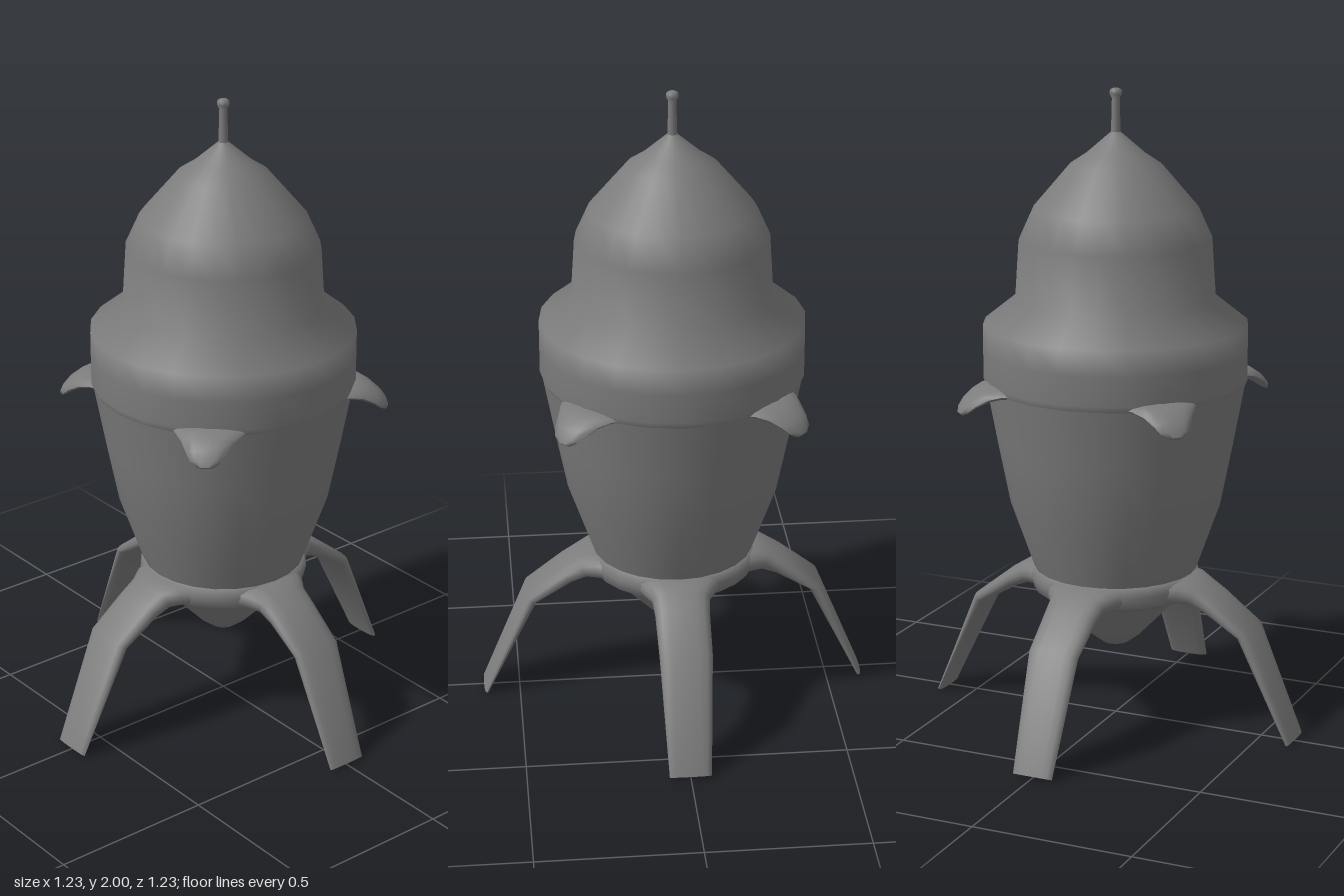
import * as THREE from 'three';
import { toCreasedNormals } from 'three/addons/utils/BufferGeometryUtils.js';

const material = new THREE.MeshStandardMaterial({ color: 0x7c7c7c, side: THREE.DoubleSide });

function turned(name, points, segments = 24) {
  const profile = points.map(([r, y]) => new THREE.Vector2(r, y));
  const mesh = new THREE.Mesh(new THREE.LatheGeometry(profile, segments), material);
  mesh.name = name;
  return mesh;
}

// Sweeps a rounded section along a path in the x-y plane.
// Each station is [x, y, half width, half thickness]; power < 1 squares the section off.
function loft(stations, sides, power) {
  const positions = [], index = [];
  const soft = (v) => Math.sign(v) * Math.pow(Math.abs(v), power);
  stations.forEach(([x, y, w, t], i) => {
    const p = stations[Math.max(i - 1, 0)], n = stations[Math.min(i + 1, stations.length - 1)];
    const dir = new THREE.Vector2(n[0] - p[0], n[1] - p[1]).normalize();
    for (let j = 0; j < sides; j++) {
      const a = (j / sides) * Math.PI * 2;
      const h = -t * soft(Math.sin(a));
      positions.push(x - dir.y * h, y + dir.x * h, w * soft(Math.cos(a)));
    }
  });
  const last = stations.length - 1;
  for (let i = 0; i < last; i++) {
    for (let j = 0; j < sides; j++) {
      const k = (j + 1) % sides;
      const a = i * sides + j, b = i * sides + k;
      index.push(a, b, b + sides, a, b + sides, a + sides);
    }
  }
  // End cap
  const center = positions.length / 3;
  positions.push(stations[last][0], stations[last][1], 0);
  for (let j = 0; j < sides; j++) index.push(center, last * sides + j, last * sides + (j + 1) % sides);
  const geometry = new THREE.BufferGeometry();
  geometry.setAttribute('position', new THREE.Float32BufferAttribute(positions, 3));
  geometry.setIndex(index);
  return toCreasedNormals(geometry, 1.1);
}

export function createModel() {
  const group = new THREE.Group();

  // Body, bottom to top
  group.add(
    turned('nozzle', [[0, 0.26], [0.018, 0.255], [0.025, 0.24], [0.042, 0.243], [0.08, 0.272], [0.15, 0.345], [0.225, 0.425]]),
    turned('baseRing', [[0.2, 0.425], [0.235, 0.415], [0.258, 0.43], [0.266, 0.465], [0.257, 0.497], [0.2, 0.5]]),
    turned('hull', [[0.255, 0.495], [0.33, 0.71], [0.367, 0.9], [0.402, 1.09]]),
    // The collar runs smoothly into the dome
    turned('collarAndDome', [
      [0.402, 1.09], [0.41, 1.11], [0.41, 1.2], [0.41, 1.28], [0.31, 1.36],
      [0.298, 1.54], [0.255, 1.635], [0.14, 1.77], [0.09, 1.803], [0.015, 1.868],
    ]),
    turned('antenna', [[0.015, 1.86], [0.012, 1.97], [0.019, 1.983], [0.018, 1.995], [0.01, 2], [0, 2]], 12)
  );

  // Legs on the axes, flared where they join the ring
  const legGeometry = loft([
    [0.2, 0.458, 0.14, 0.04],
    [0.255, 0.456, 0.115, 0.04],
    [0.29, 0.445, 0.09, 0.036],
    [0.34, 0.42, 0.085, 0.03],
    [0.455, 0.341, 0.082, 0.022],
    [0.608, 0.004, 0.065, 0.009],
  ], 16, 0.75);

  // Small drooping fins on the diagonals
  const finGeometry = loft([
    [0.36, 1.098, 0.125, 0.018],
    [0.405, 1.096, 0.1, 0.02],
    [0.44, 1.085, 0.078, 0.02],
    [0.475, 1.064, 0.059, 0.017],
    [0.495, 1.045, 0.045, 0.013],
    [0.506, 1.032, 0.022, 0.007],
  ], 14, 1);

  for (let k = 0; k < 4; k++) {
    const leg = new THREE.Mesh(legGeometry, material);
    leg.name = 'leg';
    leg.rotation.y = (k * Math.PI) / 2;
    const fin = new THREE.Mesh(finGeometry, material);
    fin.name = 'fin';
    fin.rotation.y = ((k + 0.5) * Math.PI) / 2;
    group.add(leg, fin);
  }
  return group;
}
